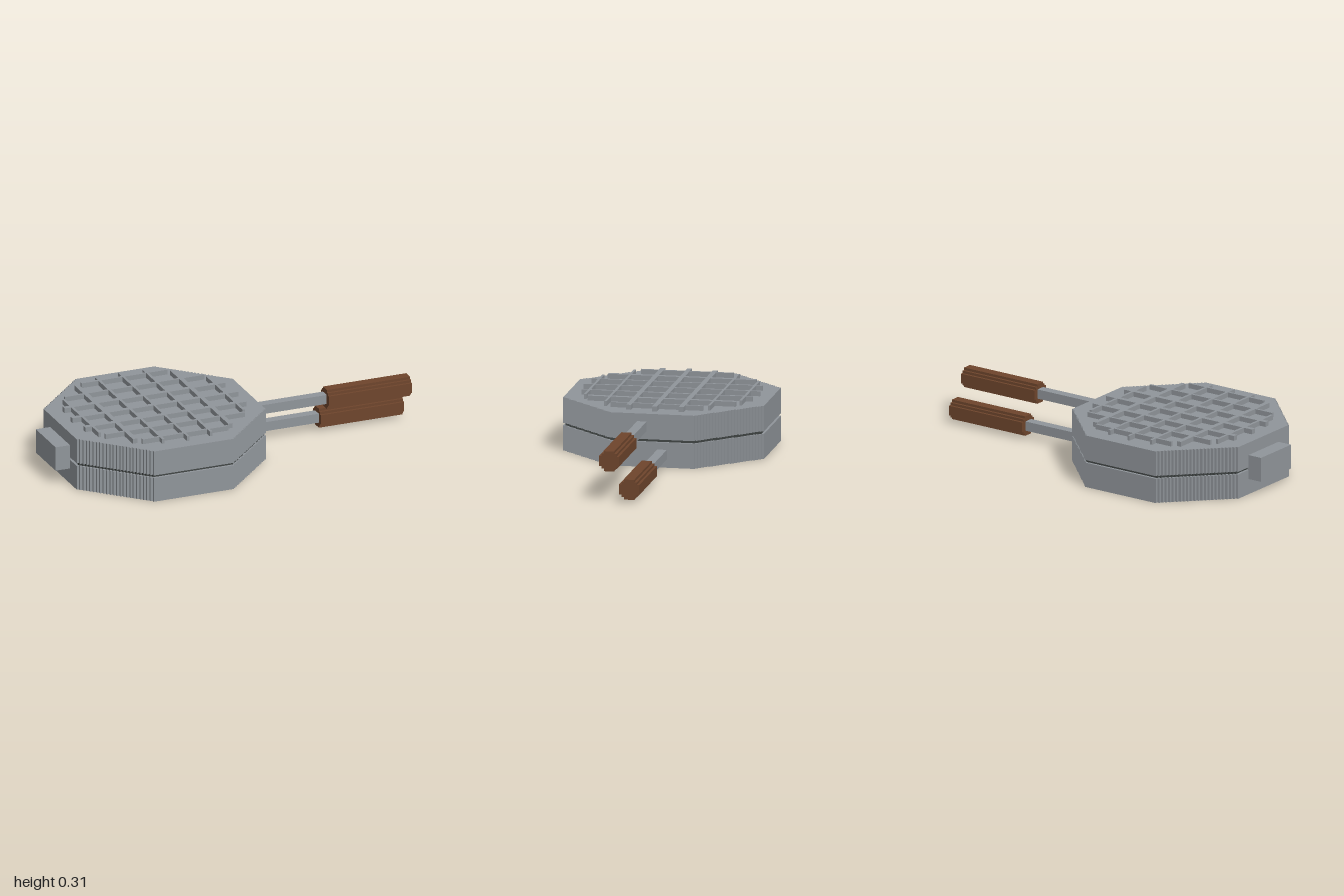
import * as THREE from 'three';

const U = 0.01318;   // step size of the stair-stepped outlines
const CX = -0.393;   // centre of the round plates

// Octagon outline with stair-stepped diagonals: half width a, half flat b (in steps)
function steppedOctagon(a, b) {
  const quarter = [];
  for (let i = 0; i < a - b; i++) {
    quarter.push([a - i, b + i], [a - i - 1, b + i]);
  }
  quarter.push([b, a]);
  const points = [];
  for (let q = 0; q < 4; q++) {
    for (const p of quarter) {
      let [x, y] = p;
      for (let k = 0; k < q; k++) [x, y] = [-y, x];
      points.push(new THREE.Vector2(x * U, y * U));
    }
  }
  return new THREE.Shape(points);
}

export function createModel() {
  const model = new THREE.Group();
  model.name = 'waffleIron';
  const steel = new THREE.MeshStandardMaterial({ color: 0x90959a });
  steel.name = 'steel grey';
  const dark = new THREE.MeshStandardMaterial({ color: 0x414645 });
  dark.name = 'dark seam';
  const wood = new THREE.MeshStandardMaterial({ color: 0x6e452c });
  wood.name = 'brown wood';

  function add(name, geometry, material, parent = model) {
    const mesh = new THREE.Mesh(geometry, material);
    mesh.name = name;
    parent.add(mesh);
    return mesh;
  }
  // Box given by its limits on each axis
  function box(name, x0, x1, y0, y1, z0, z1, parent = model) {
    const mesh = add(name, new THREE.BoxGeometry(x1 - x0, y1 - y0, z1 - z0), steel, parent);
    mesh.position.set((x0 + x1) / 2, (y0 + y1) / 2, (z0 + z1) / 2);
  }
  function plate(name, a, y0, y1, material) {
    const geometry = new THREE.ExtrudeGeometry(steppedOctagon(a, 17), { depth: y1 - y0, bevelEnabled: false });
    geometry.rotateX(-Math.PI / 2);
    add(name, geometry, material).position.set(CX, y0, 0);
  }

  // Two plates with a recessed seam between them
  plate('lowerPlate', 40, 0, 0.132, steel);
  plate('seam', 39, 0.132, 0.146, dark);
  plate('upperPlate', 40, 0.146, 0.28, steel);

  // Raised grid: [offset, half length, width], mirrored about the centre
  const grid = new THREE.Group();
  grid.name = 'waffleGrid';
  model.add(grid);
  const alongZ = [[0, 0.463, 0.013], [0.133, 0.449, 0.014], [0.266, 0.389, 0.025], [0.401, 0.242, 0.014]];
  const alongX = [[0, 0.463, 0.025], [0.138, 0.449, 0.026], [0.272, 0.389, 0.013], [0.408, 0.239, 0.013]];
  for (const side of [1, -1]) {
    for (const [o, l, w] of alongZ) {
      if (o === 0 && side < 0) continue;
      const x = CX - 0.005 + side * o;
      box('ribAcross', x - w / 2, x + w / 2, 0.279, 0.306, -l, l, grid);
    }
    for (const [o, l, w] of alongX) {
      if (o === 0 && side < 0) continue;
      const z = side * o;
      box('ribAlong', CX - l, CX + l, 0.279, 0.306, z - w / 2, z + w / 2, grid);
    }
  }

  // Hinge block on the far end
  box('hinge', -1, -0.915, 0.083, 0.213, -0.132, 0.132);

  // Handles: square rod and stepped wooden grip, one per plate
  for (const [name, y, z] of [['upperHandle', 0.214, 0.053], ['lowerHandle', 0.069, -0.053]]) {
    const handle = new THREE.Group();
    handle.name = name;
    model.add(handle);
    box('rod', 0.12, 0.545, y - 0.025, y + 0.025, z - 0.025, z + 0.025, handle);
    const gripGeometry = new THREE.ExtrudeGeometry(steppedOctagon(4, 2), { depth: 0.465, bevelEnabled: false });
    gripGeometry.rotateY(Math.PI / 2);
    add('grip', gripGeometry, wood, handle).position.set(0.535, y, z);
  }
  return model;
}
